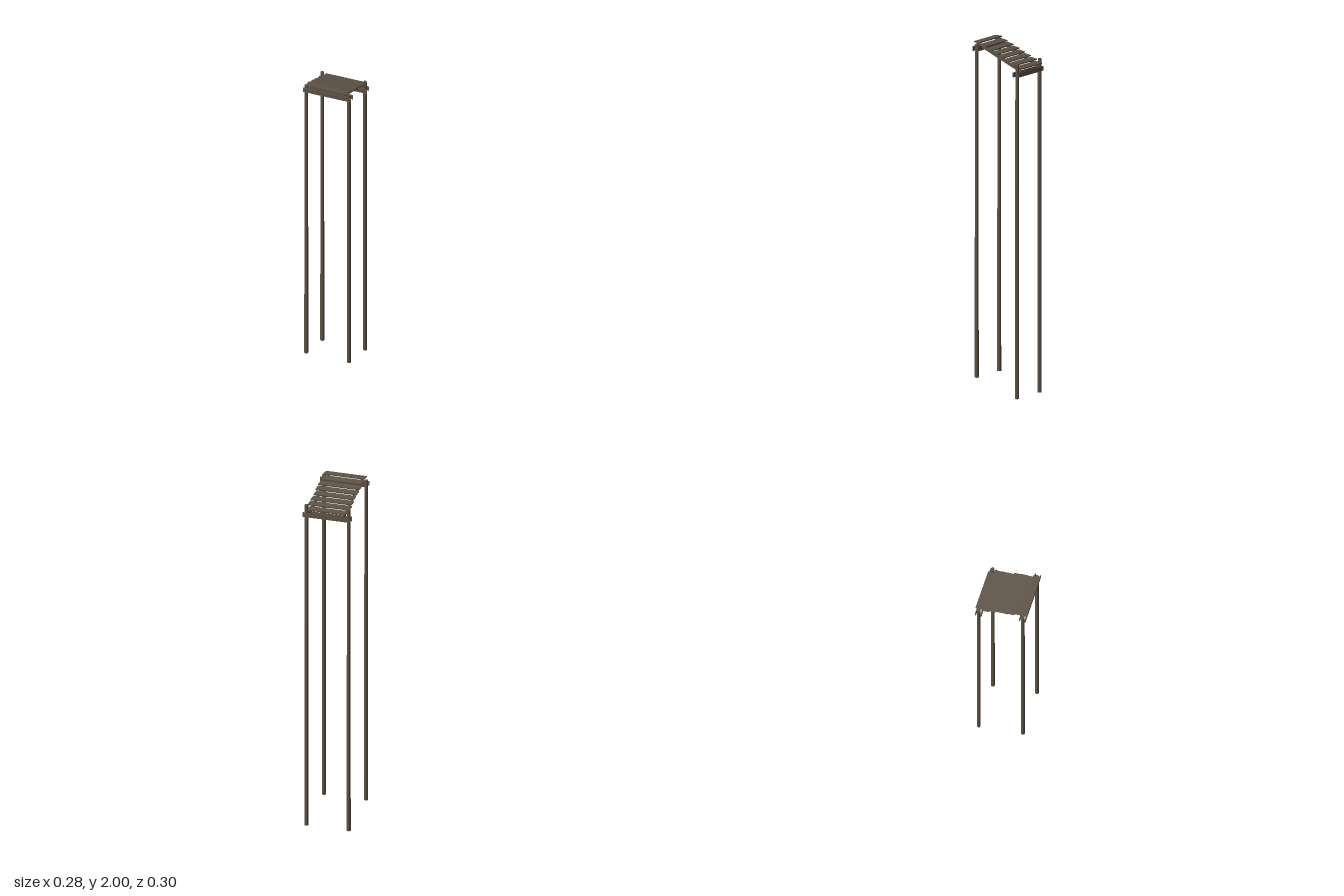
import * as THREE from 'three';

export function createModel() {
  const group = new THREE.Group();
  group.name = 'stiltedShelter';
  const wood = new THREE.MeshStandardMaterial({ color: 0x5e5246, flatShading: true });
  wood.name = 'weathered wood';

  function add(name, geometry, x, y, z, rx = 0, ry = 0) {
    const mesh = new THREE.Mesh(geometry, wood);
    mesh.name = name;
    mesh.position.set(x, y, z);
    mesh.rotation.set(rx, ry, 0);
    group.add(mesh);
    return mesh;
  }

  // Round posts: the front pair starts and ends higher than the back pair
  const rows = [
    { name: 'front', z: 0.13, bottom: 0.1, top: 1.983, railY: 1.96 },
    { name: 'back', z: -0.129, bottom: 0, top: 1.888, railY: 1.832 },
  ];
  for (const row of rows) {
    const height = row.top - row.bottom;
    for (const x of [-0.13, 0.124]) {
      add(row.name + 'Post', new THREE.CylinderGeometry(0.0105, 0.0115, height, 10),
        x, row.bottom + height / 2, row.z);
    }
    // Paired rails clamp the posts from both sides
    for (const side of [-1, 1]) {
      add(row.name + 'Rail', new THREE.BoxGeometry(0.285, 0.026, 0.006),
        -0.001, row.railY, row.z + side * 0.0155);
    }
  }

  // Sloping rafters resting on the rails
  const slope = Math.atan2(0.128, 0.259);
  for (const x of [-0.105, 0.099]) {
    add('rafter', new THREE.BoxGeometry(0.008, 0.017, 0.318), x, 1.918, 0, -slope);
  }

  // Lapped roof boards, from the back eave to the front ridge: [left end, right end]
  const ends = [
    [-0.117, 0.11], [-0.127, 0.123], [-0.125, 0.121], [-0.122, 0.118],
    [-0.125, 0.122], [-0.126, 0.121], [-0.122, 0.117], [-0.125, 0.12],
  ];
  ends.forEach(([a, b], i) => {
    const z = -0.131 + i * 0.0373;
    const tilt = i === ends.length - 1 ? -0.06 : -0.2;
    add('roofBoard', new THREE.BoxGeometry(b - a, 0.006, 0.042),
      (a + b) / 2, 1.868 + i * 0.0181, z, tilt, (i % 3 - 1) * 0.004);
  });

  return group;
}
